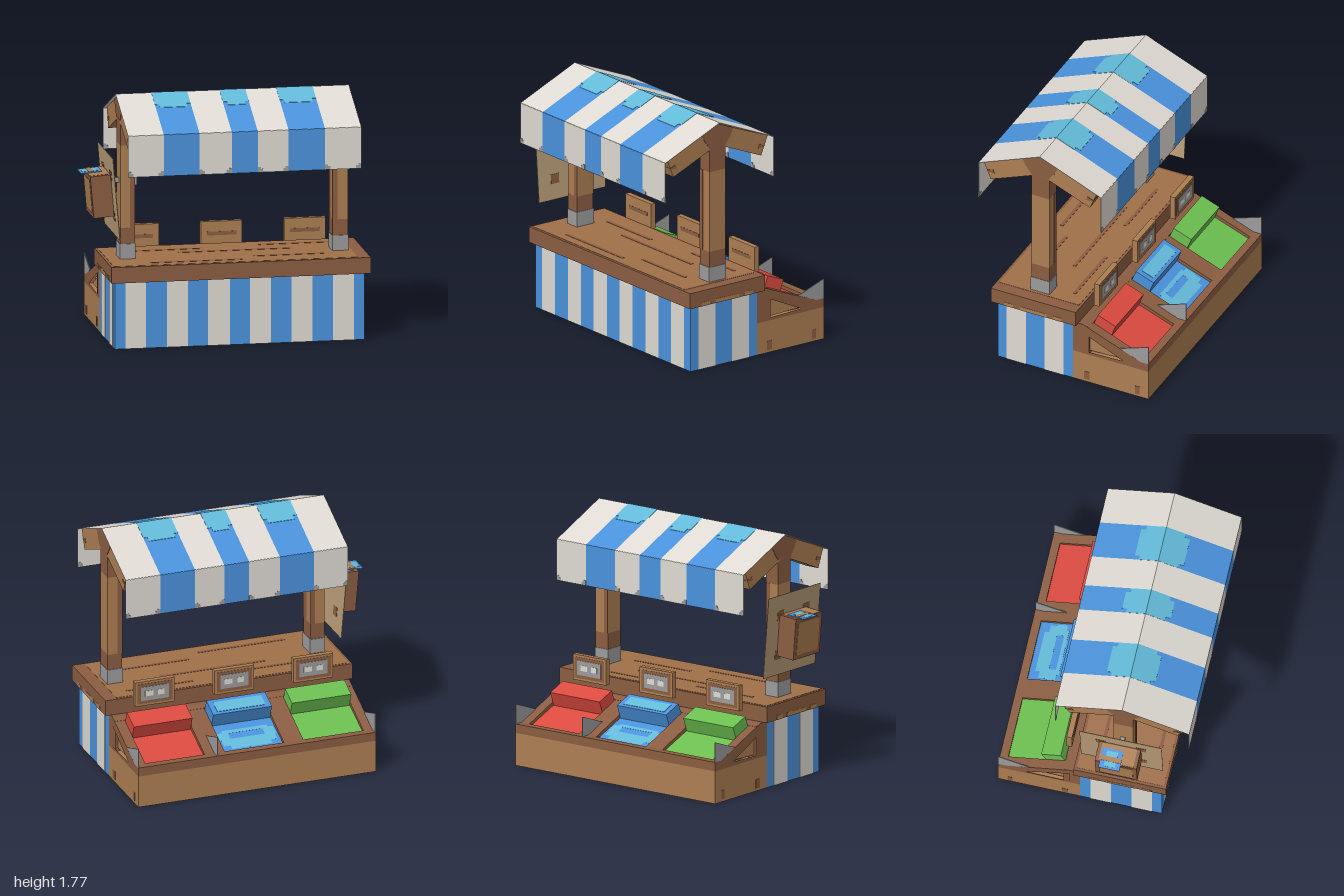
import * as THREE from 'three';

const mat = (name, color, side = THREE.FrontSide) => {
  const m = new THREE.MeshStandardMaterial({ color, side });
  m.name = name;
  return m;
};
const M = {
  white: mat('cloth white', 0xdfdad3),
  blue: mat('cloth blue', 0x4a92dc),
  cyan: mat('light blue', 0x63bad9),
  brown: mat('dark wood', 0x8b5d41),
  tan: mat('light wood', 0xad7e52),
  plank: mat('counter wood', 0xa0704a),
  board: mat('sign board', 0xb99d77),
  grey: mat('metal grey', 0x9c9b9d),
  green: mat('green goods', 0x6cbf50),
  red: mat('red goods', 0xdb4a3f),
};

export function createModel() {
  const root = new THREE.Group();

  const add = (parent, name, geo, material) => {
    const mesh = new THREE.Mesh(geo, material);
    mesh.name = name;
    parent.add(mesh);
    return mesh;
  };
  // box given by its limits on each axis
  const box = (name, material, [x0, x1], [y0, y1], [z0, z1], parent = root) => {
    const g = new THREE.BoxGeometry(x1 - x0, y1 - y0, z1 - z0);
    g.translate((x0 + x1) / 2, (y0 + y1) / 2, (z0 + z1) / 2);
    return add(parent, name, g, material);
  };
  // profile of [z, y] points extruded from x0 to x1
  const slab = (name, material, pts, x0, x1, hole) => {
    const v = (p) => p.map(([z, y]) => new THREE.Vector2(-z, y));
    const shape = new THREE.Shape(v(pts));
    if (hole) shape.holes.push(new THREE.Path(v(hole)));
    const g = new THREE.ExtrudeGeometry(shape, { depth: x1 - x0, bevelEnabled: false });
    g.rotateY(Math.PI / 2);
    g.translate(x0, 0, 0);
    return add(root, name, g, material);
  };

  // striped cloth base
  const baseX = [-0.82, -0.745, -0.6, -0.45, -0.3, -0.155, 0, 0.145, 0.295, 0.44, 0.59, 0.735, 0.885, 0.96];
  for (let i = 0; i < baseX.length - 1; i++) {
    box('baseStripe', i % 2 ? M.white : M.blue, [baseX[i], baseX[i + 1]], [0, 0.485], [-0.09, 0.5]);
  }
  for (const z of [[0.28, 0.43], [-0.015, 0.135]]) {
    box('sideStripe', M.white, [0.958, 0.963], [0, 0.48], z);
    box('sideStripe', M.white, [-0.823, -0.818], [0, 0.48], z);
  }

  // counter with plank top, grain streaks and worn edges
  box('counter', M.brown, [-0.85, 1], [0.48, 0.595], [-0.13, 0.535]);
  box('counterTop', M.plank, [-0.83, 0.91], [0.59, 0.597], [-0.11, 0.515]);
  for (const [x0, x1, z] of [[-0.55, 0.1, 0.42], [0.2, 0.7, 0.33], [-0.3, 0.5, 0.12], [-0.6, -0.1, 0.02], [0.3, 0.8, -0.03]]) {
    box('grain', M.brown, [x0, x1], [0.59, 0.599], [z, z + 0.025]);
  }
  for (const z of [[0.36, 0.43], [0.1, 0.31], [-0.02, 0.05]]) {
    box('wornEdge', M.tan, [0.995, 1.002], [0.48, 0.51], z);
    box('wornEdge', M.tan, [-0.852, -0.845], [0.48, 0.51], z);
  }

  // posts with metal feet and gable rafters
  for (const [x0, x1, inner] of [[-0.74, -0.635, -0.635], [0.775, 0.885, 0.775]]) {
    const z = [0.135, 0.275];
    box('postFoot', M.grey, [x0 - 0.003, x1 + 0.003], [0.595, 0.705], [0.13, 0.28]);
    box('postLower', M.brown, [x0, x1], [0.7, 0.82], z);
    box('postMiddle', M.tan, [x0, x1], [0.82, 1.41], z);
    box('postUpper', M.brown, [x0, x1], [1.41, 1.65], z);
    const s = inner < 0 ? inner - 0.035 : inner + 0.035;
    box('postShade', M.brown, [Math.min(inner, s), Math.max(inner, s)], [0.82, 1.41], [0.132, 0.278]);
    for (const d of [1, -1]) {
      const p = (pts) => pts.map(([u, y]) => [0.205 + d * u, y]);
      slab('rafter', M.tan, p([[0, 1.755], [0.445, 1.577], [0.388, 1.44], [0, 1.6]]), x0, x1);
      slab('rafterCrown', M.brown, p([[0, 1.757], [0.14, 1.701], [0.11, 1.64], [0.07, 1.59], [0, 1.598]]), x0 - 0.003, x1 + 0.003);
      slab('rafterMark', M.brown, p([[0.4, 1.5], [0.42, 1.51], [0.37, 1.53], [0.36, 1.5]]), x0 - 0.003, x1 + 0.003);
    }
  }

  // striped awning: two slopes, each with a hanging valance
  const roofX = [-0.76, -0.505, -0.25, -0.02, 0.165, 0.385, 0.645, 0.905];
  const ridge = [0.2, 1.765], fall = 0.2 / 0.48;
  for (const d of [1, -1]) {
    const on = (u, lift = 0) => [0.2 + d * u, ridge[1] - fall * u + lift];
    const strip = (name, m, u0, u1, t, x0, x1) =>
      slab(name, m, [on(u0, t), on(u1, t), on(u1, -t), on(u0, -t)], x0, x1);
    const zv = 0.2 + d * 0.48;
    for (let i = 0; i < 7; i++) {
      const [x0, x1] = [roofX[i], roofX[i + 1]];
      const m = i % 2 ? M.blue : M.white;
      strip('awningStripe', m, 0, 0.48, 0.002, x0, x1);
      box('valanceStripe', m, [x0, x1], [1.27, 1.565], [zv - 0.002, zv + 0.002]);
      if (i % 2) {
        // faded patch by the ridge, narrower at its lower edge
        strip('fadedPatch', M.cyan, 0, 0.14, 0.0045, x0, x1);
        strip('fadedPatchEdge', M.cyan, 0.14, 0.175, 0.0045, x0 + 0.03, x1 - 0.03);
      } else {
        for (const [a, b] of [[x0, x0 + 0.038], [x1 - 0.038, x1]]) {
          box('valanceCorner', M.grey, [a, b], [1.27, 1.295], [zv - 0.004, zv + 0.004]);
        }
        box('valanceCorner', M.grey, [x0, x0 + 0.022], [1.295, 1.308], [zv - 0.004, zv + 0.004]);
        box('valanceCorner', M.grey, [x1 - 0.022, x1], [1.295, 1.308], [zv - 0.004, zv + 0.004]);
      }
    }
  }

  // display bin behind the counter
  box('binBody', M.tan, [-0.82, 0.96], [0, 0.235], [-0.68, -0.09]);
  box('binBackRail', M.brown, [-0.82, 0.96], [0.235, 0.3], [-0.68, -0.62]);
  slab('binFrontRail', M.brown, [[-0.09, 0.235], [-0.09, 0.48], [-0.165, 0.48], [-0.21, 0.463], [-0.21, 0.235]], -0.815, 0.955);
  const wall = [[-0.09, 0.235], [-0.09, 0.48], [-0.165, 0.48], [-0.615, 0.3], [-0.68, 0.3], [-0.68, 0.235]];
  const gap = [[-0.165, 0.41], [-0.48, 0.265], [-0.165, 0.255]];
  for (const [x0, x1, end] of [[-0.82, -0.75, 1], [-0.3, -0.155, 0], [0.29, 0.44, 0], [0.885, 0.96, 1]]) {
    slab('binDivider', M.brown, wall, x0, x1, end ? gap : undefined);
    if (end) slab('binInfill', M.tan, gap, x0 + 0.025, x1 - 0.025);
  }
  for (const x of [[0.955, 0.962], [-0.822, -0.815]]) {
    box('knot', M.brown, x, [0.02, 0.085], [-0.22, -0.175]);
    box('knot', M.brown, x, [0.02, 0.085], [-0.61, -0.575]);
  }

  // goods, each with a raised block and a price board
  for (const [x0, x1, m] of [[-0.75, -0.3, M.green], [-0.155, 0.29, M.blue], [0.44, 0.885, M.red]]) {
    const xc = (x0 + x1) / 2;
    slab('goodsBed', m, [[-0.2, 0.24], [-0.2, 0.435], [-0.62, 0.275], [-0.62, 0.24]], x0, x1);
    const block = new THREE.Group();
    block.name = 'goodsBlock';
    block.position.set(xc, 0.452, -0.293);
    block.rotation.x = -0.37;
    root.add(block);
    const w = (x1 - x0) / 2 - 0.003;
    box('block', m, [-w, w], [-0.06, 0.06], [-0.075, 0.075], block);
    if (m === M.blue) {
      // pale ripples
      box('ripple', M.cyan, [-0.18, 0.18], [0.056, 0.063], [-0.05, 0.045], block);
      for (const [a, b, z0, z1] of [[-0.17, 0.17, -0.17, -0.14], [-0.21, -0.13, -0.235, -0.16], [0.13, 0.21, -0.235, -0.16], [-0.15, 0.15, -0.325, -0.26], [-0.2, 0.2, -0.29, -0.225]]) {
        box('ripple', M.cyan, [a, b], [-0.062, -0.047], [z0, z1], block);
      }
    }
    const b = new THREE.Group();
    b.name = 'priceBoard';
    b.position.set(xc, 0.65, -0.2);
    root.add(b);
    box('board', M.tan, [-0.148, 0.148], [-0.095, 0.09], [-0.02, 0.02], b);
    box('streak', M.brown, [-0.105, 0.105], [-0.01, 0.017], [0.016, 0.022], b);
    box('boardFrame', M.brown, [-0.13, 0.13], [-0.078, 0.073], [-0.022, -0.016], b);
    box('label', M.grey, [-0.105, 0.105], [-0.055, 0.05], [-0.025, -0.018], b);
    box('labelMark', M.white, [0.015, 0.075], [-0.022, 0.018], [-0.027, -0.02], b);
    box('labelMark', M.white, [-0.07, -0.02], [-0.022, 0.018], [-0.027, -0.02], b);
  }

  // thin metal fins on the bin
  for (const x of [-0.817, 0.365, 0.957]) {
    slab('fin', M.grey, [[-0.455, 0.365], [-0.68, 0.445], [-0.68, 0.3], [-0.615, 0.3]], x - 0.003, x + 0.003);
  }

  // side sign: bracket, tilted board and small crate
  box('bracketRod', M.grey, [-0.82, -0.73], [1.135, 1.17], [0.183, 0.218]);
  box('bracketBolt', M.grey, [-0.64, -0.615], [1.115, 1.19], [0.165, 0.24]);
  const sign = new THREE.Group();
  sign.name = 'sideSign';
  sign.position.set(-0.808, 1.073, 0.205);
  sign.rotation.z = 0.085;
  root.add(sign);
  box('signBoard', M.board, [-0.002, 0.002], [-0.295, 0.295], [-0.295, 0.295], sign);
  for (const y of [-0.145, 0.145]) {
    for (const z of [-0.145, 0.145]) {
      box('signMark', M.brown, [-0.004, 0.004], [y - 0.035, y + 0.035], [z - 0.035, z + 0.035], sign);
    }
  }
  box('signCrate', M.brown, [-0.147, -0.002], [-0.15, 0.15], [-0.155, 0.145], sign);
  box('crateTop', M.tan, [-0.14, -0.01], [0.147, 0.152], [-0.13, 0.12], sign);
  box('cratePanel', M.tan, [-0.15, -0.145], [-0.12, 0.12], [-0.125, 0.115], sign);
  box('crateGoods', M.blue, [-0.192, -0.042], [0.153, 0.157], [-0.12, 0.03], sign);
  box('crateGoodsPale', M.cyan, [-0.175, -0.06], [0.153, 0.159], [-0.085, -0.005], sign);
  box('crateGoodsWood', M.tan, [-0.135, -0.1], [0.153, 0.161], [-0.118, 0.028], sign);

  return root;
}
